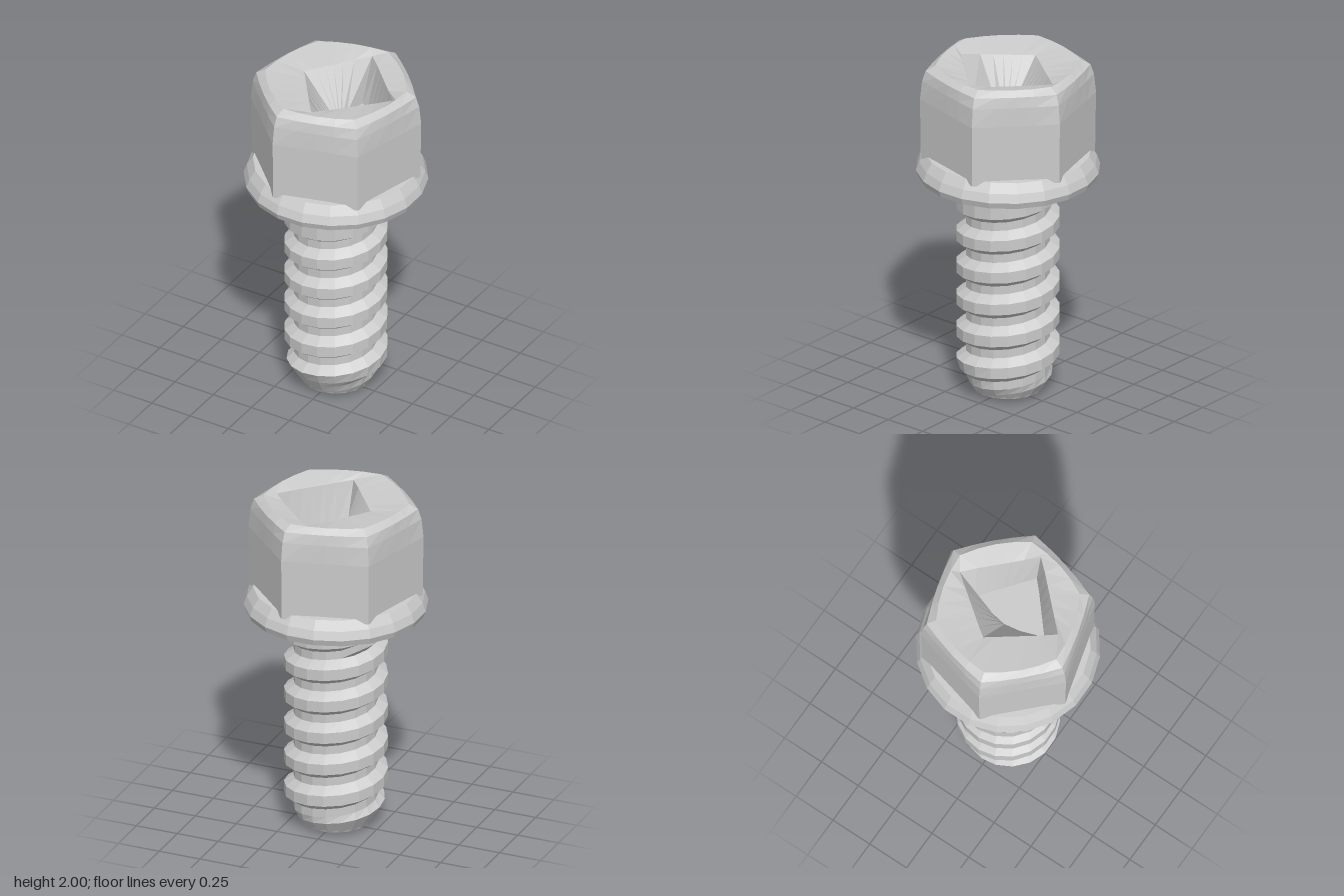
import * as THREE from 'three';

const N = 24;                       // columns around the axis
const TURN = Math.PI * 2;
const START = THREE.MathUtils.degToRad(44.5); // direction of one hex corner
const material = new THREE.MeshStandardMaterial({
  color: 0xcccccc, flatShading: true, side: THREE.DoubleSide,
});

// Skin a list of rows (each an array of [x, y, z]) with quads.
function loft(name, rows) {
  const cols = rows[0].length;
  const index = [];
  for (let j = 0; j < rows.length - 1; j++) {
    for (let i = 0; i < cols - 1; i++) {
      const a = j * cols + i, b = a + cols;
      index.push(a, b, a + 1, a + 1, b, b + 1);
    }
  }
  const geometry = new THREE.BufferGeometry();
  geometry.setAttribute('position', new THREE.Float32BufferAttribute(rows.flat(2), 3));
  geometry.setIndex(index);
  geometry.computeVertexNormals();
  const mesh = new THREE.Mesh(geometry, material);
  mesh.name = name;
  return mesh;
}

// One closed ring; radius is a function of the angle.
function ring(y, radius, cx = 0, cz = 0, n = N) {
  return Array.from({ length: n + 1 }, (_, i) => {
    const t = START + ((i % n) / n) * TURN;
    const r = radius(t);
    return [cx + r * Math.cos(t), y, cz + r * Math.sin(t)];
  });
}

const round = (r) => () => r;

// Hexagon, blended toward a circle by "soft".
const hex = (r, soft = 0) => (t) => {
  const a = ((t - START) % (TURN / 6) + TURN / 6) % (TURN / 6) - Math.PI / 6;
  const flat = r * Math.cos(Math.PI / 6) / Math.cos(a);
  return flat * (1 - soft) + r * 0.93 * soft;
};

// Lopsided diamond with a reach for each of its four points.
const diamond = (right, left, front, back) => (t) => {
  const c = Math.cos(t), s = Math.sin(t);
  return 1 / (Math.abs(c) / (c > 0 ? right : left) + Math.abs(s) / (s > 0 ? front : back));
};

// Helical thread: a four-point profile repeated along the shank.
function makeThread() {
  const pitch = 0.195, bottom = 0.025, top = 1.31, steps = 18;
  const profile = [[-0.035, 0.292], [0.03, 0.292], [0.07, 0.238], [0.12, 0.238]];
  const rows = [];
  for (let k = -2; k < 9; k++) {
    for (const [dy, radius] of profile) {
      const row = [];
      for (let i = 0; i <= steps; i++) {
        const t = (i / steps) * TURN;
        const rawY = 0.5975 + pitch * (k - 2 - t / TURN) + dy;
        const y = THREE.MathUtils.clamp(rawY, bottom, top);
        // plain neck above, tapered tip below
        const r = y > 1.18 ? 0.292 : Math.min(radius, 0.18 + y * 0.62);
        row.push([r * Math.cos(t), y, r * Math.sin(t)]);
      }
      rows.push(row);
    }
  }
  return loft('threadedShank', rows);
}

export function createModel() {
  const model = new THREE.Group();

  // threaded shank and its blunt tip
  model.add(makeThread());
  model.add(loft('tip', [
    ring(0, round(0), 0, 0, 18),
    ring(0.003, round(0.12), 0, 0, 18),
    ring(0.026, round(0.197), 0, 0, 18),
    ring(0.06, round(0.212), 0, 0, 18),
  ]));

  // flange under the head
  model.add(loft('flange', [
    ring(1.3, round(0.2), 0, 0, 20),
    ring(1.305, round(0.3), 0, 0, 20),
    ring(1.328, round(0.505), 0, 0, 20),
    ring(1.365, round(0.518), 0, 0, 20),
    ring(1.415, round(0.5), 0, 0, 20),
    ring(1.468, round(0.465), 0, 0, 20),
    ring(1.472, round(0.38), 0, 0, 20),
  ]));

  // hexagonal head with a rounded upper edge
  const rim = diamond(0.33, 0.25, 0.34, 0.33);
  model.add(loft('hexHead', [
    ring(1.44, hex(0.49)),
    ring(1.8, hex(0.495)),
    ring(1.91, hex(0.487, 0.1)),
    ring(1.97, hex(0.472, 0.25)),
    ring(2.0, hex(0.425, 0.5)),
    ring(1.975, rim, 0.03, -0.02),
  ]));

  // lopsided drive recess, sloping on the left and steep on the right
  model.add(loft('recess', [
    ring(1.975, rim, 0.03, -0.02),
    ring(1.72, diamond(0.29, 0.04, 0.25, 0.23), 0.03, -0.02),
    ring(1.72, round(0), 0.03, -0.02),
  ]));

  return model;
}
